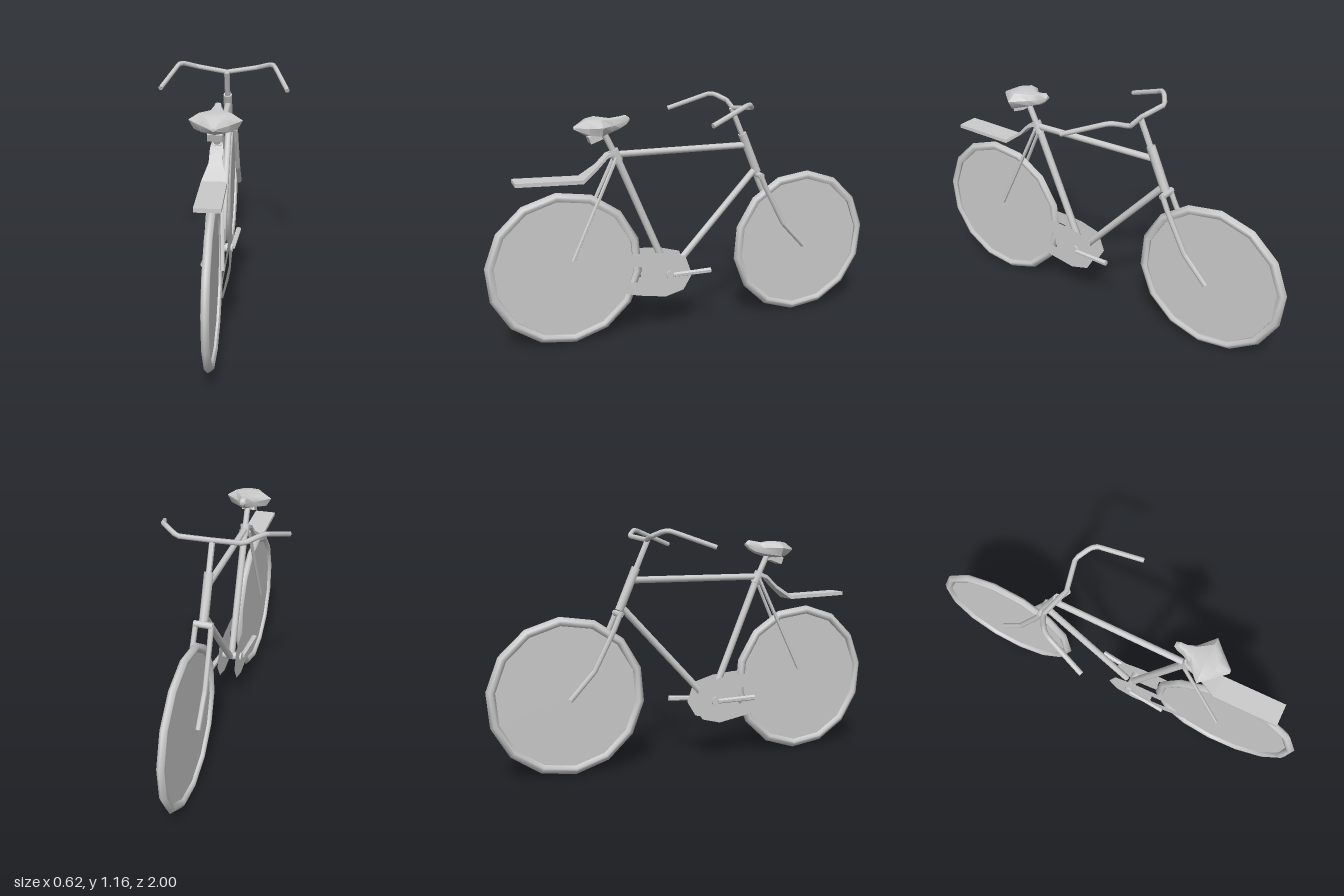
import * as THREE from 'three';
import { toCreasedNormals } from 'three/addons/utils/BufferGeometryUtils.js';

const V = (x, y, z) => new THREE.Vector3(x, y, z);

export function createModel() {
  const bike = new THREE.Group();
  bike.name = 'bicycle';
  const grey = new THREE.MeshStandardMaterial({ color: 0xcccccc });
  const sheet = new THREE.MeshStandardMaterial({ color: 0xcccccc, side: THREE.DoubleSide });

  const add = (name, geo, mat = grey, parent = bike) => {
    const mesh = new THREE.Mesh(geo, mat);
    mesh.name = name;
    parent.add(mesh);
    return mesh;
  };

  // Straight round bar between two points
  const bar = (name, a, b, r1, r2 = r1, sides = 8) => {
    const dir = b.clone().sub(a);
    const geo = new THREE.CylinderGeometry(r2, r1, dir.length(), sides);
    const mesh = add(name, toCreasedNormals(geo, 1));
    mesh.position.copy(a).add(b).multiplyScalar(0.5);
    mesh.quaternion.setFromUnitVectors(V(0, 1, 0), dir.normalize());
    return mesh;
  };

  // Bent tube with sharp corners, closed at both ends
  const bentTube = (name, points, r, sides = 6) => {
    const path = new THREE.CurvePath();
    for (let i = 1; i < points.length; i++) path.add(new THREE.LineCurve3(points[i - 1], points[i]));
    add(name, new THREE.TubeGeometry(path, 40, r, sides));
    [[points[0], points[1]], [points.at(-1), points.at(-2)]].forEach(([end, next]) => {
      const cap = add(name + 'End', new THREE.CircleGeometry(r, sides), sheet);
      cap.position.copy(end);
      cap.lookAt(end.clone().multiplyScalar(2).sub(next));
    });
  };

  // Skin over loops that run counter-clockwise seen from +z, ordered by rising z
  const loft = (loops, crease) => {
    const n = loops[0].length, pos = [], idx = [];
    loops.forEach(loop => loop.forEach(p => pos.push(p.x, p.y, p.z)));
    for (let s = 0; s < loops.length - 1; s++) {
      for (let i = 0; i < n; i++) {
        const a = s * n + i, b = s * n + (i + 1) % n;
        idx.push(a, b, b + n, a, b + n, a + n);
      }
    }
    const last = (loops.length - 1) * n;
    for (let i = 1; i < n - 1; i++) idx.push(0, i + 1, i, last, last + i, last + i + 1);
    const geo = new THREE.BufferGeometry();
    geo.setAttribute('position', new THREE.Float32BufferAttribute(pos, 3));
    geo.setIndex(idx);
    return toCreasedNormals(geo, crease);
  };

  // Wheels: faceted pointed tyre around a thin disc
  const R = 0.38, SIDES = 14;
  [['rearWheel', 0.624, 85], ['frontWheel', -0.624, 95]].forEach(([name, z, degrees]) => {
    const wheel = new THREE.Group();
    wheel.name = name;
    wheel.position.set(0, R, z);
    bike.add(wheel);
    const start = THREE.MathUtils.degToRad(degrees);
    const profile = [[0.338, -0.01], [0.352, -0.018], [0.364, -0.016], [R, 0],
      [0.364, 0.016], [0.352, 0.018], [0.338, 0.01], [0.338, -0.01]].map(p => new THREE.Vector2(...p));
    add('tyre', new THREE.LatheGeometry(profile, SIDES, start).rotateZ(Math.PI / 2), grey, wheel);
    add('wheelDisc', new THREE.CircleGeometry(0.342, SIDES, start).rotateY(-Math.PI / 2), sheet, wheel);
  });

  // Frame
  bar('topTube', V(0, 0.917, 0.37), V(0, 0.917, -0.3), 0.016);
  bar('downTube', V(0, 0.79, -0.355), V(0, 0.32, 0.08), 0.017);
  bar('seatTube', V(0, 0.93, 0.372), V(0, 0.31, 0.115), 0.018);
  bar('seatLug', V(0, 0.94, 0.377), V(0, 0.885, 0.353), 0.024);
  bar('headTube', V(0, 0.775, -0.367), V(0, 0.975, -0.282), 0.022);
  bar('bottomBracket', V(-0.055, 0.305, 0.115), V(0.055, 0.305, 0.115), 0.022);

  // Steering
  bar('stem', V(0, 0.95, -0.29), V(0, 1.105, -0.222), 0.014);
  bentTube('handlebar', [
    V(-0.3, 1.075, 0), V(-0.235, 1.147, -0.195), V(-0.215, 1.148, -0.22), V(-0.15, 1.122, -0.262),
    V(0, 1.105, -0.228),
    V(0.15, 1.122, -0.262), V(0.215, 1.148, -0.22), V(0.235, 1.147, -0.195), V(0.3, 1.075, 0),
  ], 0.012);
  bar('forkCrown', V(-0.044, 0.76, -0.375), V(0.044, 0.76, -0.375), 0.016);

  // Parts that appear on both sides
  [-1, 1].forEach(s => {
    bentTube('forkBlade', [V(s * 0.036, 0.77, -0.37), V(s * 0.038, 0.69, -0.405),
      V(s * 0.043, 0.5, -0.505), V(s * 0.045, 0.37, -0.625)], 0.013);
    bar('seatStay', V(s * 0.022, 0.905, 0.368), V(s * 0.04, 0.43, 0.595), 0.009, 0.009, 6);
  });

  // Chain guards, drawn as (z, y) outlines with a long slot
  const guard = new THREE.Shape([[0.7, 0.375], [0.668, 0.425], [0.62, 0.436], [0.25, 0.43], [0.14, 0.42],
    [0.035, 0.39], [0, 0.29], [0.045, 0.215], [0.14, 0.19], [0.28, 0.215], [0.62, 0.312], [0.685, 0.345]]
    .map(p => new THREE.Vector2(...p)));
  guard.holes.push(new THREE.Path([[0.668, 0.375], [0.655, 0.395], [0.63, 0.402], [0.245, 0.36],
    [0.24, 0.275], [0.62, 0.35], [0.655, 0.358]].map(p => new THREE.Vector2(...p))));
  [-1, 1].forEach(s => {
    const mesh = add('chainGuard', new THREE.ShapeGeometry(guard).rotateY(-Math.PI / 2), sheet);
    mesh.position.x = s * 0.045;
  });

  // Cranks, pointing opposite ways
  [-1, 1].forEach(s => {
    bar('crank', V(s * 0.055, 0.303, 0.115 - s * 0.012), V(s * 0.072, 0.31, 0.115 - s * 0.205), 0.012, 0.014, 6);
  });

  // Rack: a flat board that narrows and climbs to the seat tube; rows are z, y, half width
  const rack = [[0.37, 0.93, 0.024], [0.41, 0.915, 0.028], [0.46, 0.865, 0.03],
    [0.535, 0.81, 0.055], [0.845, 0.82, 0.055]].map(([z, y, w]) =>
    [V(-w, y - 0.009, z), V(w, y - 0.009, z), V(w, y + 0.009, z), V(-w, y + 0.009, z)]);
  add('rack', loft(rack, 0.5));

  // Saddle: rows are z, half width, top, widest height, bottom
  const saddle = [[0.298, 0.012, 1.088, 1.08, 1.07], [0.315, 0.02, 1.1, 1.076, 1.052],
    [0.345, 0.024, 1.095, 1.066, 1.035], [0.385, 0.045, 1.088, 1.06, 1.022],
    [0.45, 0.115, 1.095, 1.062, 1.008], [0.5, 0.066, 1.09, 1.055, 1.012],
    [0.56, 0.008, 1.06, 1.053, 1.045]].map(([z, w, top, mid, low]) =>
    [V(w, mid, z), V(w * 0.6, top - 0.003, z), V(0, top, z), V(-w * 0.6, top - 0.003, z),
      V(-w, mid, z), V(-w * 0.8, mid * 0.25 + low * 0.75, z), V(0, low, z),
      V(w * 0.8, mid * 0.25 + low * 0.75, z)]);
  add('saddle', loft(saddle, 0.8));

  // Saddle clamp and post
  const clamp = add('saddleClamp', new THREE.BoxGeometry(0.065, 0.035, 0.06));
  clamp.position.set(0, 1.005, 0.465);
  clamp.rotation.x = 0.35;
  bar('seatPost', V(0, 0.92, 0.37), V(0, 1.04, 0.427), 0.015);

  return bike;
}
